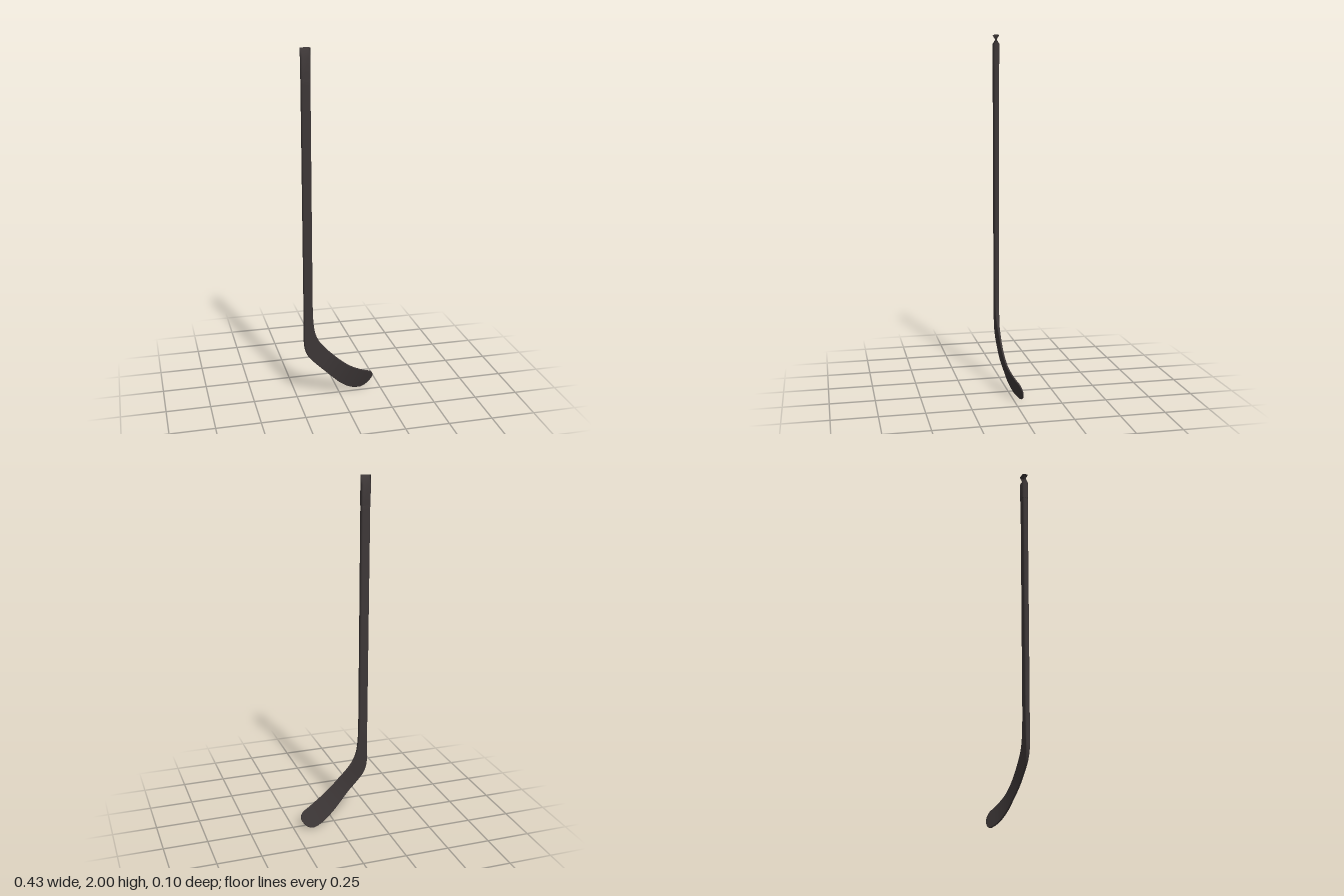
import * as THREE from 'three';

// Rounded-rectangle ring: points [a, b] going counter-clockwise
function roundedRing(width, thick, radius, steps = 4) {
  const r = Math.min(radius, width * 0.49, thick * 0.49);
  const pts = [];
  [[1, 1], [-1, 1], [-1, -1], [1, -1]].forEach(([sa, sb], q) => {
    for (let k = 0; k <= steps; k++) {
      const ang = (q + k / steps) * Math.PI / 2;
      pts.push([sa * (width / 2 - r) + r * Math.cos(ang), sb * (thick / 2 - r) + r * Math.sin(ang)]);
    }
  });
  return pts;
}

// Loft through stations [inner edge xyz, outer edge xyz, thickness, corner radius]
function loft(stations, segments) {
  const curve = (f) => new THREE.CatmullRomCurve3(stations.map(f), false, 'catmullrom', 0.5);
  const inner = curve((s) => new THREE.Vector3(...s[0]));
  const outer = curve((s) => new THREE.Vector3(...s[1]));
  const size = curve((s) => new THREE.Vector3(s[2], s[3], 0));
  const mid = (t) => inner.getPoint(t).add(outer.getPoint(t)).multiplyScalar(0.5);
  const pos = [], idx = [];
  let n = 0;
  const rings = [];
  for (let i = 0; i <= segments; i++) {
    const t = i / segments;
    const centre = mid(t);
    const across = inner.getPoint(t).sub(outer.getPoint(t));
    const width = across.length();
    across.normalize();
    const along = mid(Math.min(1, t + 0.004)).sub(mid(Math.max(0, t - 0.004)));
    const normal = along.cross(across).normalize();
    const s = size.getPoint(t);
    const ring = roundedRing(width, s.x, s.y).map(([a, b]) =>
      centre.clone().addScaledVector(across, a).addScaledVector(normal, b));
    n = ring.length;
    rings.push(ring);
    ring.forEach((p) => pos.push(p.x, p.y, p.z));
  }
  for (let i = 0; i < segments; i++) {
    for (let j = 0; j < n; j++) {
      const a = i * n + j, b = i * n + (j + 1) % n;
      idx.push(a, b, b + n, a, b + n, a + n);
    }
  }
  // Flat end caps with their own vertices
  [rings[0], rings[segments]].forEach((ring, end) => {
    const base = pos.length / 3;
    ring.forEach((p) => pos.push(p.x, p.y, p.z));
    for (let j = 1; j < n - 1; j++) {
      if (end) idx.push(base, base + j, base + j + 1);
      else idx.push(base, base + j + 1, base + j);
    }
  });
  const g = new THREE.BufferGeometry();
  g.setAttribute('position', new THREE.Float32BufferAttribute(pos, 3));
  g.setIndex(idx);
  g.computeVertexNormals();
  return g;
}

export function createModel() {
  const group = new THREE.Group();
  const charcoal = new THREE.MeshStandardMaterial({ color: 0x3d3737 });
  charcoal.name = 'charcoal';
  const add = (name, geometry) => {
    const mesh = new THREE.Mesh(geometry, charcoal);
    mesh.name = name;
    group.add(mesh);
  };

  // Slightly thicker wrapped grip at the top
  add('grip', loft([
    [[-0.161, 2, 0.03], [-0.214, 2, 0.03], 0.034, 0.01],
    [[-0.161, 1.84, 0.03], [-0.214, 1.84, 0.03], 0.034, 0.01],
  ], 2));

  // Straight shaft down to where the heel begins
  const shaftEnd = [[-0.161, 0.62, 0.031], [-0.212, 0.62, 0.031], 0.027, 0.009];
  add('shaft', loft([
    [[-0.162, 1.86, 0.031], [-0.213, 1.86, 0.031], 0.03, 0.009],
    shaftEnd,
  ], 8));

  // Heel and curved blade: inner (top) edge and outer (bottom) edge
  add('blade', loft([
    shaftEnd,
    [[-0.160, 0.53, 0.031], [-0.212, 0.51, 0.031], 0.026, 0.009],
    [[-0.156, 0.46, 0.031], [-0.212, 0.41, 0.031], 0.024, 0.008],
    [[-0.147, 0.405, 0.031], [-0.211, 0.33, 0.031], 0.021, 0.007],
    [[-0.124, 0.352, 0.031], [-0.193, 0.272, 0.031], 0.016, 0.006],
    [[-0.088, 0.306, 0.030], [-0.153, 0.222, 0.030], 0.012, 0.005],
    [[-0.045, 0.262, 0.030], [-0.098, 0.167, 0.026], 0.011, 0.004],
    [[0.005, 0.215, 0.027], [-0.045, 0.112, 0.014], 0.010, 0.004],
    [[0.060, 0.172, 0.020], [0.008, 0.061, 0.001], 0.010, 0.004],
    [[0.115, 0.140, 0.006], [0.070, 0.019, -0.018], 0.009, 0.004],
    [[0.167, 0.115, -0.011], [0.130, 0.001, -0.039], 0.009, 0.004],
    [[0.193, 0.104, -0.021], [0.165, 0.010, -0.045], 0.009, 0.004],
    [[0.207, 0.088, -0.029], [0.190, 0.031, -0.044], 0.008, 0.0035],
    [[0.211, 0.070, -0.036], [0.206, 0.053, -0.040], 0.006, 0.003],
  ], 78));

  return group;
}
